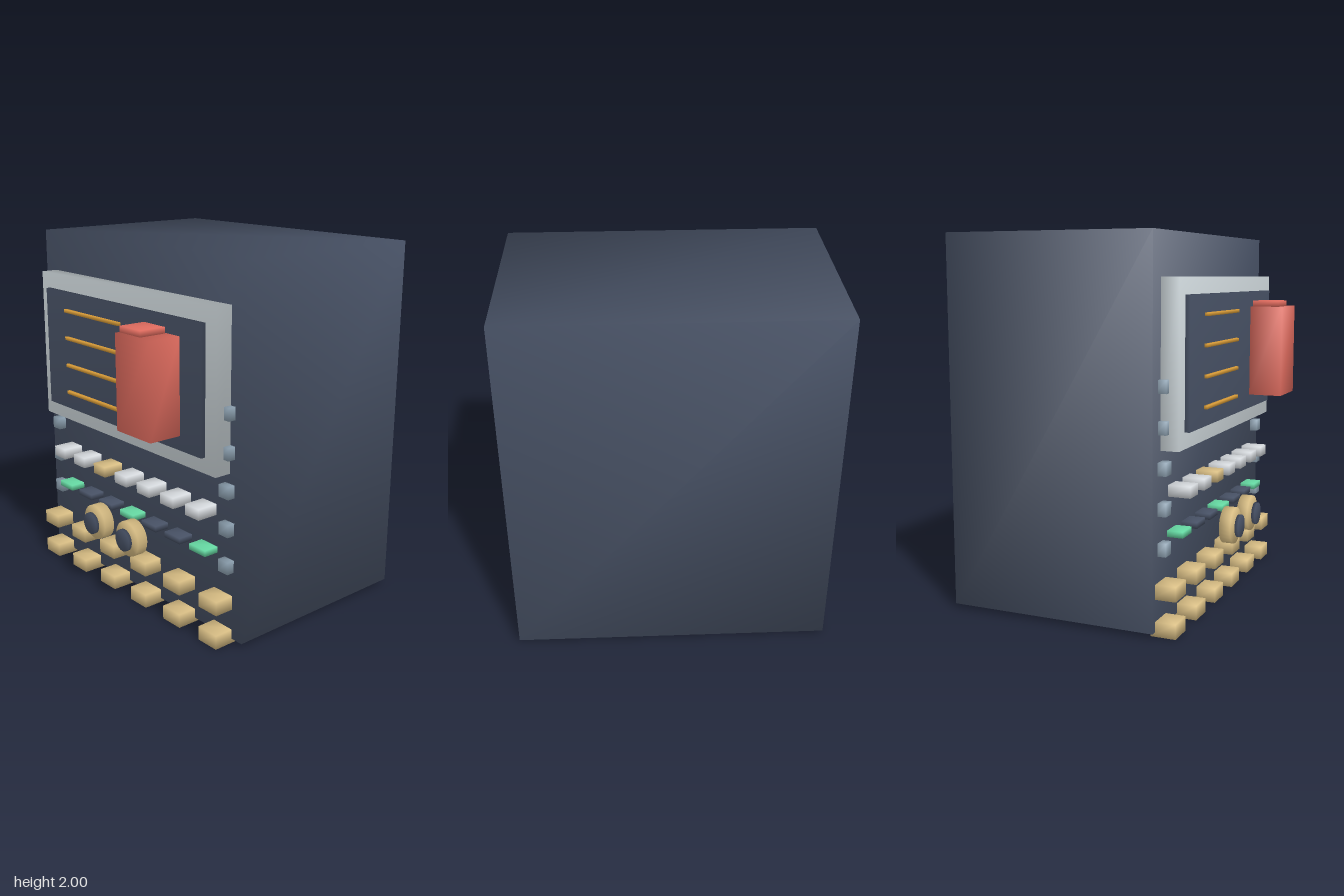
import * as THREE from 'three';
import { mergeVertices } from 'three/addons/utils/BufferGeometryUtils.js';

function material(name, color) {
  const m = new THREE.MeshStandardMaterial({ color });
  m.name = name;
  return m;
}

// Weld the corners so shading runs softly over the edges
function soften(geometry) {
  geometry.deleteAttribute('normal');
  geometry.deleteAttribute('uv');
  const welded = mergeVertices(geometry);
  welded.computeVertexNormals();
  return welded;
}

export function createModel() {
  const model = new THREE.Group();
  model.name = 'controlConsole';

  const slate = material('slate', 0x485266);
  const silver = material('silver', 0xcfd8dc);
  const red = material('red', 0xe06c5f);
  const brass = material('brass', 0xdabf85);
  const amber = material('amber', 0xd99c38);
  const green = material('green', 0x66d9a3);
  const steel = material('steel', 0x8fa3b3);
  const white = material('white', 0xd8dce0);

  // Box given by its extents on each axis
  function box(name, mat, [x0, x1], [y0, y1], [z0, z1], parent = model) {
    const geometry = soften(new THREE.BoxGeometry(x1 - x0, y1 - y0, z1 - z0));
    const mesh = new THREE.Mesh(geometry, mat);
    mesh.name = name;
    mesh.position.set((x0 + x1) / 2, (y0 + y1) / 2, (z0 + z1) / 2);
    parent.add(mesh);
  }

  // Disc facing forward
  function disc(name, mat, radius, x, y, [z0, z1], parent) {
    const geometry = soften(new THREE.CylinderGeometry(radius, radius, z1 - z0, 24).rotateX(Math.PI / 2));
    const mesh = new THREE.Mesh(geometry, mat);
    mesh.name = name;
    mesh.position.set(x, y, (z0 + z1) / 2);
    parent.add(mesh);
  }

  const around = (centre, size) => [centre - size / 2, centre + size / 2];

  function group(name) {
    const g = new THREE.Group();
    g.name = name;
    model.add(g);
    return g;
  }

  // Cabinet, display frame and display panel
  box('cabinet', slate, [-0.862, 0.862], [0.024, 2], [-0.735, 0.418]);
  box('displayFrame', silver, [-0.762, 0.762], [0.93, 1.775], [0.4, 0.514]);
  box('displayPanel', slate, [-0.683, 0.683], [1.015, 1.69], [0.5, 0.54]);

  // Amber lines on the display
  const lines = group('displayLines');
  for (const y of [1.588, 1.431, 1.273, 1.115]) {
    box('displayLine', amber, [-0.477, 0.033], around(y, 0.018), [0.535, 0.558], lines);
  }

  // Red canister with its cap
  const canister = group('canister');
  box('canisterBody', red, [0.26, 0.535], [1.098, 1.605], [0.552, 0.738], canister);
  box('canisterCap', red, [0.267, 0.435], [1.6, 1.638], [0.563, 0.715], canister);

  // Steel studs down both edges
  const studs = group('studs');
  for (const side of [-1, 1]) {
    for (let i = 0; i < 5; i++) {
      box('stud', steel, around(side * 0.762, 0.07), around(0.437 + i * 0.203, 0.067), [0.4, 0.462], studs);
    }
  }

  // Row of small keys above a row of indicator lamps
  const keys = group('keys');
  const lamps = group('lamps');
  for (let i = 0; i < 7; i++) {
    const x = (i - 3) * 0.2035;
    box('key', i === 2 ? brass : white, around(x, 0.107), [0.679, 0.738], [0.41, 0.54], keys);
    box('lamp', i % 3 === 0 ? green : slate, around(x, 0.125), around(0.489, 0.033), [0.41, 0.504], lamps);
  }

  // Two knobs with dark caps
  const knobs = group('knobs');
  for (const x of [-0.155, 0.152]) {
    disc('knobRing', brass, 0.1, x, 0.427, [0.551, 0.613], knobs);
    disc('knobCap', slate, 0.062, x, 0.427, [0.627, 0.646], knobs);
  }

  // Two rows of large buttons
  const buttons = group('buttons');
  for (let i = 0; i < 6; i++) {
    const x = -0.757 + i * 0.295;
    for (const y of [0.0385, 0.23]) {
      box('button', brass, around(x, 0.139), around(y, 0.077), [0.393, 0.527], buttons);
    }
  }

  return model;
}
